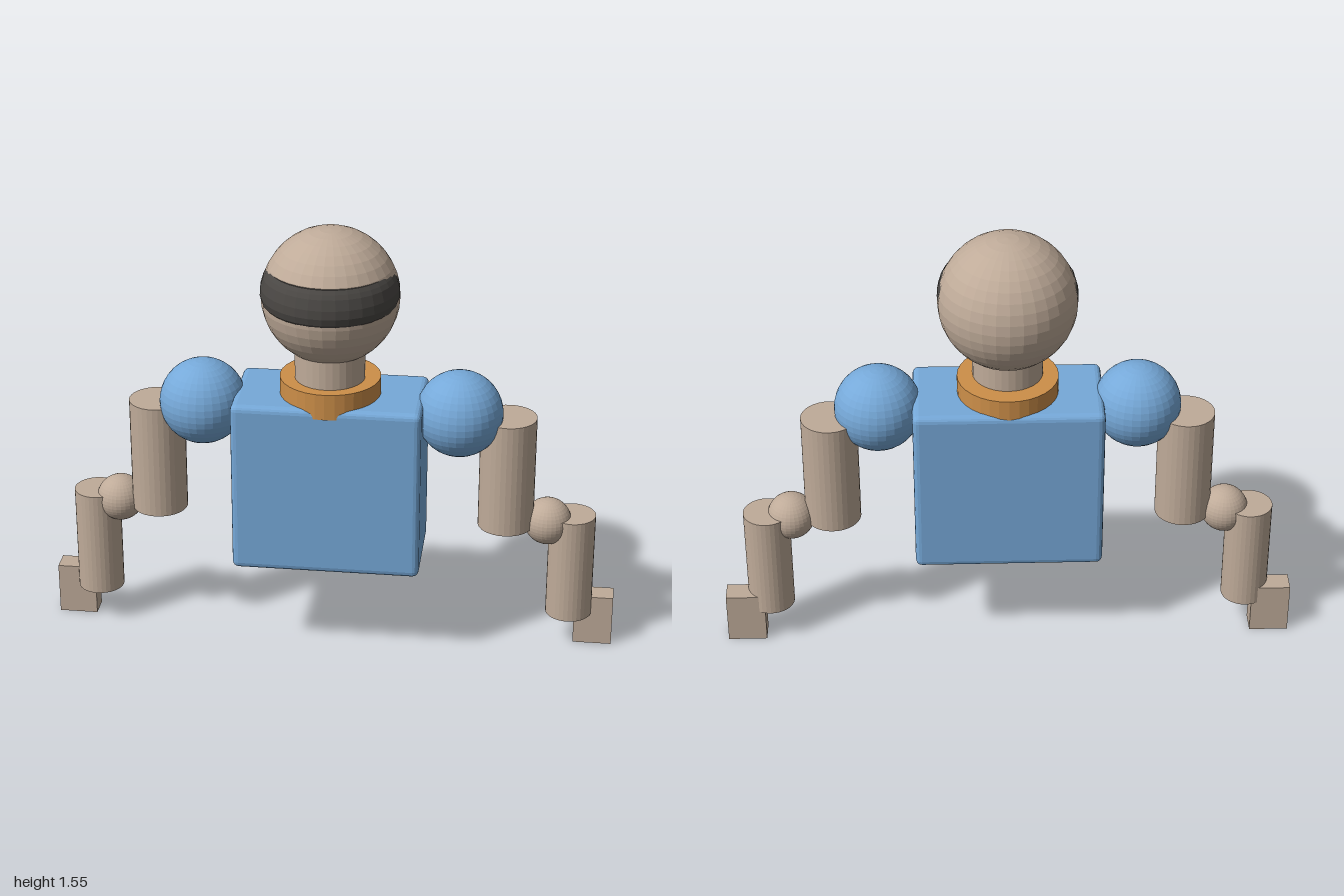
import * as THREE from 'three';
import { RoundedBoxGeometry } from 'three/addons/geometries/RoundedBoxGeometry.js';

function material(name, color, flat = true) {
  const m = new THREE.MeshStandardMaterial({ color, flatShading: flat });
  m.name = name;
  return m;
}

export function createModel() {
  const model = new THREE.Group();
  model.name = 'robotBust';

  const tan = material('tan', 0xbfab99);
  const blue = material('blue', 0x76a9d9);
  const orange = material('orange', 0xcd8f49);
  const charcoal = material('charcoal', 0x4a4744);

  const add = (parent, name, geometry, mat, x, y, z) => {
    const mesh = new THREE.Mesh(geometry, mat);
    mesh.name = name;
    mesh.position.set(x, y, z);
    parent.add(mesh);
    return mesh;
  };
  const sphere = (r) => new THREE.SphereGeometry(r, 32, 20);
  // Upright cylinder given by its bottom and top heights
  const post = (parent, name, r, y0, y1, mat, x, z) =>
    add(parent, name, new THREE.CylinderGeometry(r, r, y1 - y0, 32), mat, x, (y0 + y1) / 2, z);

  // Torso with softened edges
  add(model, 'torso', new RoundedBoxGeometry(0.65, 0.62, 0.343, 2, 0.022), blue, 0, 0.65, -0.006);

  // Collar, neck and head
  post(model, 'collar', 0.173, 0.93, 1.022, orange, 0, -0.002);
  post(model, 'neck', 0.12, 0.98, 1.2, tan, 0, 0.01);
  add(model, 'head', sphere(0.235), tan, 0, 1.315, -0.004);

  // Visor: a band that hugs the head, set forward so its back sinks inside
  const band = [
    [0.17, 1.291], [0.222, 1.293], [0.229, 1.301], [0.2355, 1.325],
    [0.234, 1.355], [0.224, 1.39], [0.215, 1.405], [0.204, 1.418], [0.16, 1.42],
  ].map(([r, y]) => new THREE.Vector2(r, y));
  add(model, 'visor', new THREE.LatheGeometry(band, 32), charcoal, 0, 0, 0.01);

  // Arms, mirrored
  for (const [side, s] of [['left', 1], ['right', -1]]) {
    const arm = new THREE.Group();
    arm.name = side + 'Arm';
    add(arm, 'shoulder', sphere(0.15), blue, s * 0.443, 0.9, -0.006);
    post(arm, 'upperArm', 0.097, 0.47, 0.882, tan, s * 0.611, -0.036);
    add(arm, 'elbow', sphere(0.083), tan, s * 0.757, 0.484, -0.05);
    post(arm, 'forearm', 0.081, 0.122, 0.508, tan, s * 0.843, -0.063);
    add(arm, 'hand', new THREE.BoxGeometry(0.136, 0.185, 0.078), tan, s * 0.932, 0.0925, -0.093);
    model.add(arm);
  }

  return model;
}
